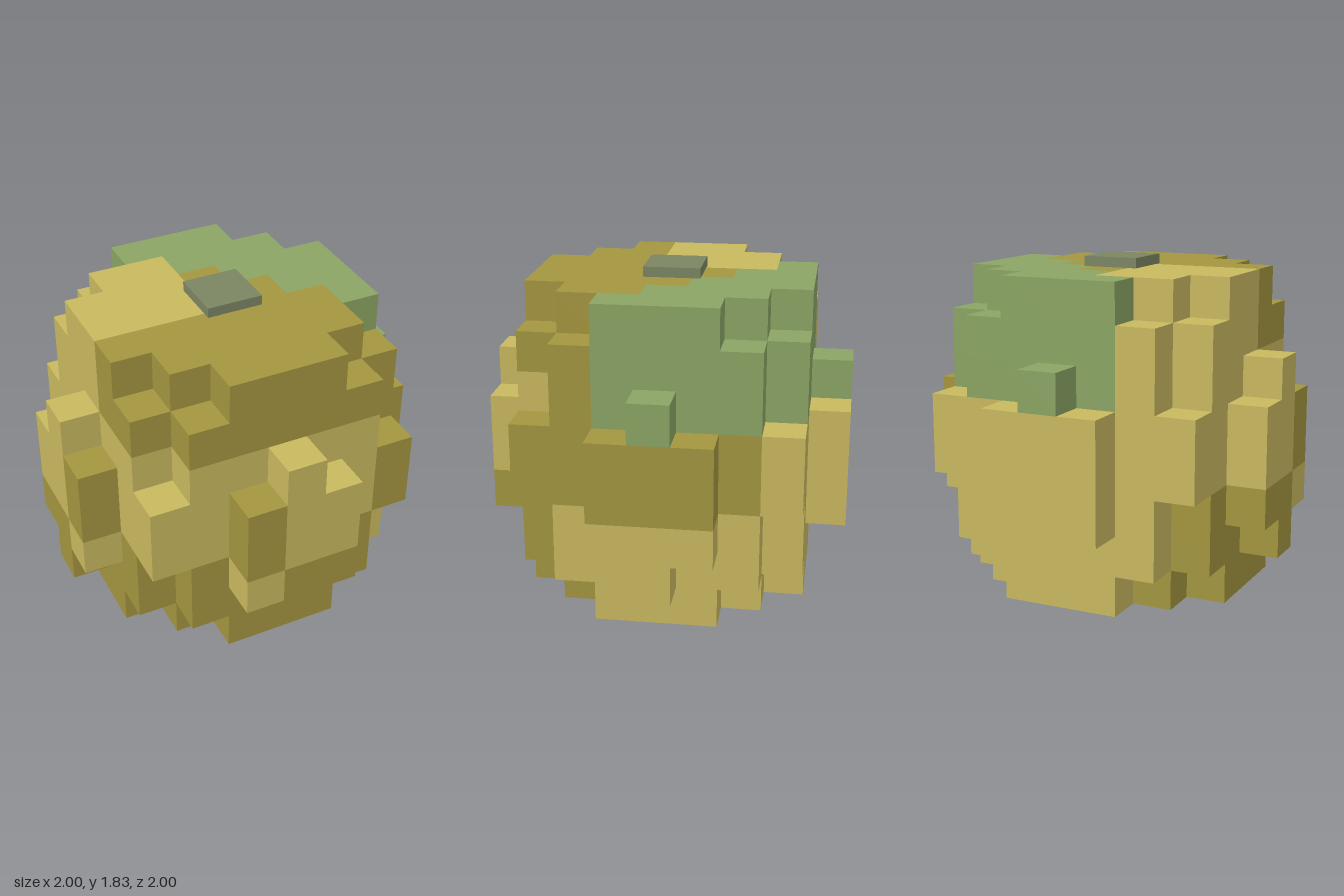
import * as THREE from 'three';

const U = 2 / 9; // edge of one block

// Which blocks are solid: a stepped ball, x and z in -4..4, layers y in 0..7
function solid(x, y, z) {
  if (y < 0 || y > 7) return false;
  const ax = Math.abs(x), az = Math.abs(z);
  const hi = Math.max(ax, az), lo = Math.min(ax, az);
  if (hi > 4) return false;
  if (hi === 4) { // raised bumps on the four sides
    if (lo > 1) return false;
    if (y >= 2 && y <= 4) return true;
    return lo === 0 && (y === 5 || (y === 1 && ax === 4));
  }
  if (y === 0 || y === 7) return ax + az <= 4; // stepped caps
  if (y === 3 || y === 4) return true;         // full middle band
  return ax + az < 6;                          // corners removed
}

// Colour patches by block position
function patch(x, y, z) {
  if (y >= 5) {
    if (x >= z + 2) return 'green';
    if (y === 5) return x < 0 || z >= 3 ? 'light' : 'dark';
    return x < 0 && z <= 0 ? 'light' : 'dark';
  }
  if (y >= 3) {
    const dark = (x >= 3 && z > -3) || (x === -4 && z === 1) || (z === 4 && x === -1);
    return dark ? 'dark' : 'light';
  }
  if (x >= 3 || z <= -3) return 'light';
  if (y === 2 && ((x === -4 && z === 1) || (z === 4 && x === -1))) return 'light';
  if (y === 0 && x >= 0 && z <= 0) return 'light';
  return 'dark';
}

// Outward normal n with tangents u, v where u x v = n
const SIDES = [
  { n: [1, 0, 0], u: [0, 1, 0], v: [0, 0, 1] },
  { n: [-1, 0, 0], u: [0, 0, 1], v: [0, 1, 0] },
  { n: [0, 1, 0], u: [0, 0, 1], v: [1, 0, 0] },
  { n: [0, -1, 0], u: [1, 0, 0], v: [0, 0, 1] },
  { n: [0, 0, 1], u: [1, 0, 0], v: [0, 1, 0] },
  { n: [0, 0, -1], u: [0, 1, 0], v: [1, 0, 0] },
];

// Exposed block faces of one colour
function patchGeometry(name) {
  const pos = [], nor = [], idx = [];
  for (let x = -4; x <= 4; x++) for (let y = 0; y < 8; y++) for (let z = -4; z <= 4; z++) {
    if (!solid(x, y, z) || patch(x, y, z) !== name) continue;
    const c = [x, y + 0.5, z];
    for (const { n, u, v } of SIDES) {
      if (solid(x + n[0], y + n[1], z + n[2])) continue;
      const b = pos.length / 3;
      for (const [s, t] of [[-1, -1], [1, -1], [1, 1], [-1, 1]]) {
        for (let i = 0; i < 3; i++) pos.push((c[i] + (n[i] + s * u[i] + t * v[i]) / 2) * U);
        nor.push(...n);
      }
      idx.push(b, b + 1, b + 2, b, b + 2, b + 3);
    }
  }
  const g = new THREE.BufferGeometry();
  g.setAttribute('position', new THREE.Float32BufferAttribute(pos, 3));
  g.setAttribute('normal', new THREE.Float32BufferAttribute(nor, 3));
  g.setIndex(idx);
  return g;
}

function material(name, color) {
  const m = new THREE.MeshStandardMaterial({ color });
  m.name = name;
  return m;
}

export function createModel() {
  const model = new THREE.Group();
  model.name = 'blockBall';

  // Body, one mesh per colour
  const body = new THREE.Group();
  body.name = 'body';
  const colours = {
    light: material('lightStraw', 0xc8b85f),
    dark: material('darkOlive', 0xa3953f),
    green: material('leafGreen', 0x8ba463),
  };
  for (const [name, mat] of Object.entries(colours)) {
    const mesh = new THREE.Mesh(patchGeometry(name), mat);
    mesh.name = name + 'Patches';
    body.add(mesh);
  }
  model.add(body);

  // Flat square stem on top
  const h = 0.056;
  const stem = new THREE.Mesh(new THREE.BoxGeometry(0.316, h, 0.316), material('stemGrey', 0x7b8562));
  stem.name = 'stem';
  stem.position.y = 8 * U + h / 2;
  model.add(stem);

  return model;
}
